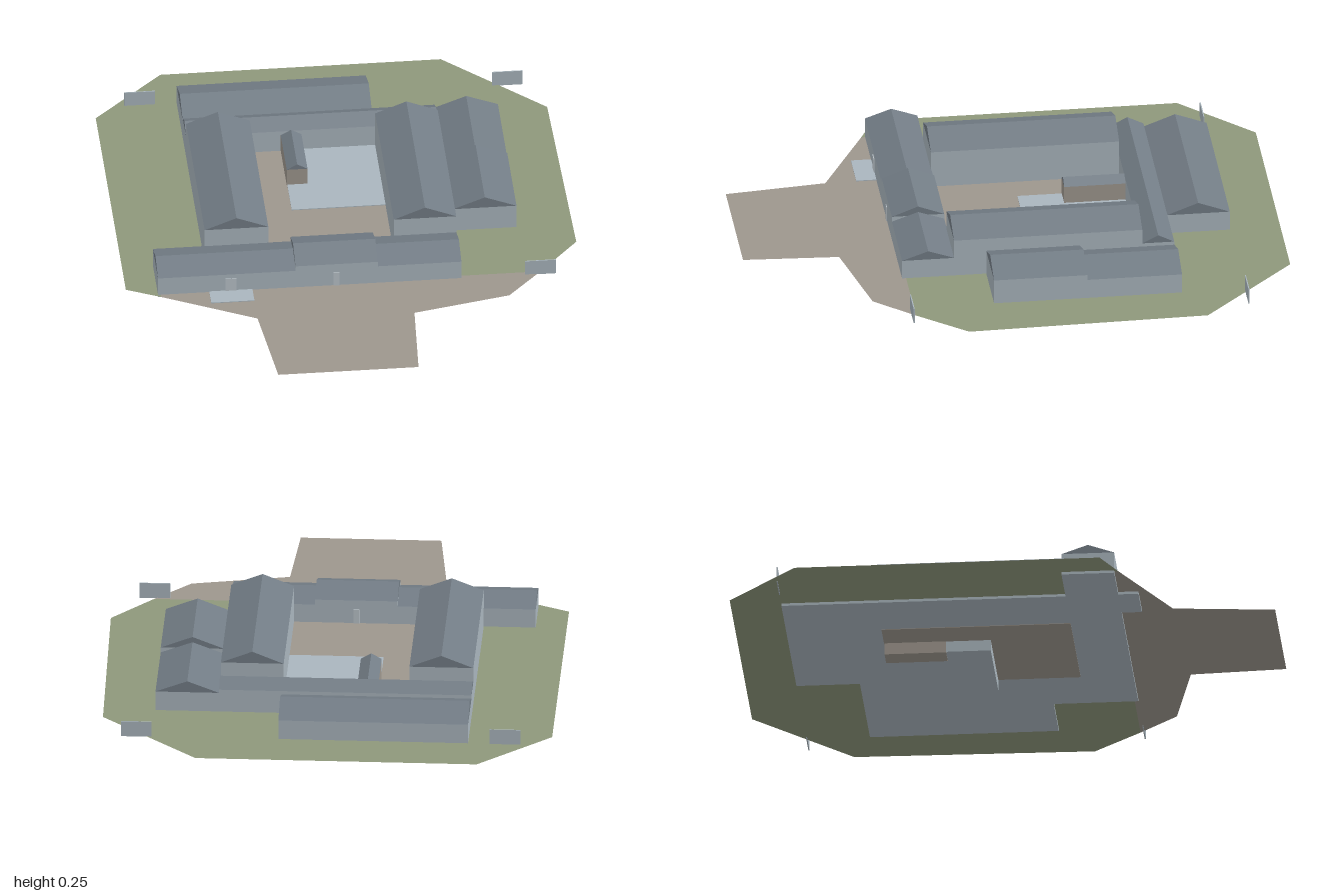
import * as THREE from 'three';

const paint = (name, color) => {
  const m = new THREE.MeshStandardMaterial({ color });
  m.name = name;
  return m;
};

export function createModel() {
  const wall = paint('paleWall', 0xa9b5bd);
  const roof = paint('slateRoof', 0x727c85);
  const stone = paint('brownPaving', 0x9d968d);
  const grass = paint('grass', 0x8e977b);
  const light = paint('lightDoor', 0xb9c2c8);
  grass.side = stone.side = THREE.DoubleSide;

  const model = new THREE.Group();
  model.name = 'courtyardHouse';

  const add = (name, geometry, material, parent = model) => {
    const mesh = new THREE.Mesh(geometry, material);
    mesh.name = name;
    parent.add(mesh);
    return mesh;
  };
  // Box given by its extents on each axis
  const block = (name, [x0, x1], [y0, y1], [z0, z1], material, parent) =>
    add(name, new THREE.BoxGeometry(x1 - x0, y1 - y0, z1 - z0)
      .translate((x0 + x1) / 2, (y0 + y1) / 2, (z0 + z1) / 2), material, parent);
  // Flat ground from [x, z] points
  const flat = (name, points, y, material) => {
    const shape = new THREE.Shape(points.map(([x, z]) => new THREE.Vector2(x, -z)));
    return add(name, new THREE.ShapeGeometry(shape).rotateX(-Math.PI / 2).translate(0, y, 0), material);
  };
  // Walls with a gabled roof; the ridge runs along the given axis
  const house = (name, [x0, x1], [z0, z1], axis, eave, ridge, base = 0.047, wallMaterial = wall) => {
    const group = new THREE.Group();
    group.name = name;
    block('walls', [x0, x1], [base, eave], [z0, z1], wallMaterial, group);
    const alongX = axis === 'x';
    const span = alongX ? z1 - z0 : x1 - x0;
    const length = alongX ? x1 - x0 : z1 - z0;
    const gable = new THREE.Shape([
      new THREE.Vector2(-span / 2, 0), new THREE.Vector2(span / 2, 0), new THREE.Vector2(0, ridge - eave),
    ]);
    const geometry = new THREE.ExtrudeGeometry(gable, { depth: length, bevelEnabled: false })
      .translate(0, 0, -length / 2);
    if (alongX) geometry.rotateY(Math.PI / 2);
    geometry.translate((x0 + x1) / 2, eave, (z0 + z1) / 2);
    add('roof', geometry, roof, group);
    model.add(group);
  };

  // Site
  flat('lawn', [
    [-0.58, -1], [0.46, -1], [0.82, -0.65], [0.84, 0.24], [0.69, 0.42], [-0.72, 0.42], [-0.72, 0.45], [-0.845, 0.39], [-0.845, -0.74],
  ], 0.057, grass);
  flat('forecourt', [
    [-0.72, 0.42], [0.69, 0.42], [0.56, 0.565], [0.2, 0.645], [0.18, 1], [-0.34, 1], [-0.38, 0.625], [-0.72, 0.45],
  ], 0.057, stone);
  block('courtyardPaving', [-0.305, 0.165], [0.045, 0.059], [-0.46, 0.24], stone);
  block('courtyardBasement', [-0.185, 0.163], [0.003, 0.062], [-0.458, -0.065], wall);
  block('porchFloor', [-0.54, -0.38], [0.047, 0.06], [0.42, 0.51], wall);

  // Front range, in three sections
  house('frontRangeRight', [-0.73, -0.22], [0.24, 0.435], 'x', 0.13, 0.164);
  house('frontRangeMiddle', [-0.22, 0.085], [0.24, 0.435], 'x', 0.15, 0.187);
  house('frontRangeLeft', [0.085, 0.395], [0.24, 0.435], 'x', 0.13, 0.164);
  // Tall wings either side of the courtyard
  house('rightWing', [-0.538, -0.302], [-0.458, 0.242], 'z', 0.202, 0.248);
  house('leftWing', [0.163, 0.395], [-0.458, 0.242], 'z', 0.202, 0.248);
  // Back ranges
  house('crossRange', [-0.538, 0.395], [-0.577, -0.458], 'x', 0.145, 0.175);
  house('backRange', [-0.538, 0.163], [-0.812, -0.577], 'x', 0.132, 0.176);
  // Outer side range
  house('sideRangeFront', [0.395, 0.63], [-0.225, 0.122], 'z', 0.152, 0.197);
  house('sideRangeBack', [0.395, 0.63], [-0.577, -0.225], 'z', 0.132, 0.176);
  // Small house standing in the courtyard
  house('courtyardHut', [-0.187, -0.11], [-0.458, -0.23], 'z', 0.128, 0.15, 0, stone);

  // Doors
  block('frontDoor', [-0.48, -0.44], [0.057, 0.113], [0.433, 0.438], light);
  block('gateOuter', [-0.08, -0.057], [0.057, 0.115], [0.433, 0.438], light);
  block('gateInner', [-0.08, -0.057], [0.057, 0.115], [0.237, 0.242], light);

  // Free-standing panels at the corners
  for (const [x, z] of [[-0.675, -0.812], [0.688, -0.812], [0.688, 0.433]]) {
    block('boundaryPanel', [x - 0.057, x + 0.057], [0.055, 0.115], [z - 0.002, z + 0.002], wall);
  }
  return model;
}
